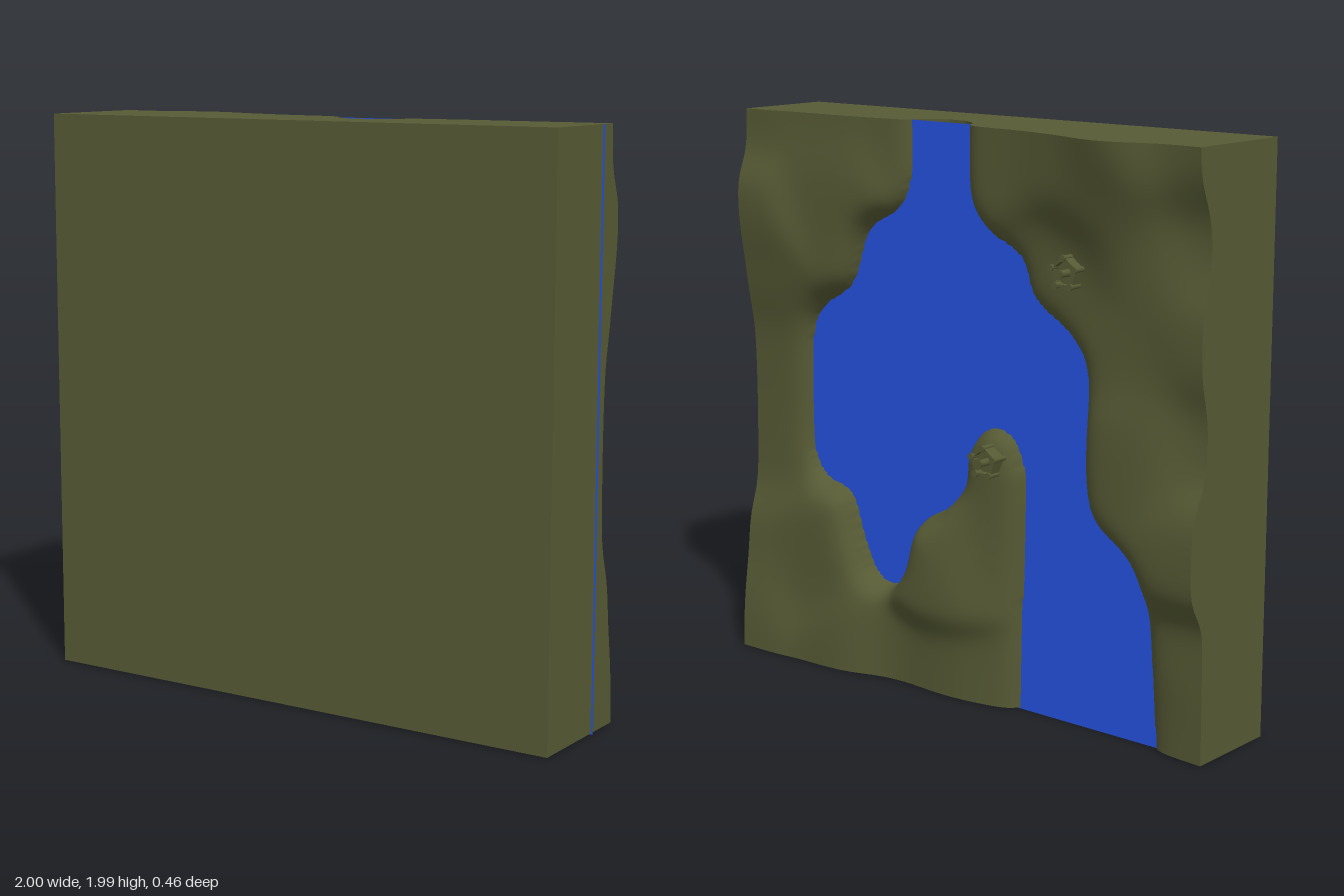
import * as THREE from 'three';

const olive = new THREE.MeshStandardMaterial({ color: 0x565a34 });
olive.name = 'oliveGround';
const blue = new THREE.MeshStandardMaterial({ color: 0x2553e2, side: THREE.DoubleSide });
blue.name = 'waterBlue';

const WATER = 0.07; // relief rises towards -z, heights are measured that way
const TOP = 1.985, BOTTOM = 0.004, FRONT = 0.23, LEFT = 0.993;

// Shorelines as x, y pairs, both running from the top edge to the bottom edge
const leftShore = [
  .256, 2.15, .256, 1.98, .263, 1.79, .32, 1.68, .46, 1.59, .54, 1.4, .68, 1.3, .735, 1.2, .748, 1, .74, .78,
  .68, .68, .56, .63, .5, .48, .44, .365, .35, .335, .27, .425, .216, .583, .1, .66, .02, .754, 0, .875,
  -.08, .965, -.18, .955, -.235, .853, -.244, .74, -.23, .354, -.22, 0, -.22, -.2,
];
const rightShore = [
  0, 2.15, 0, 1.98, -.006, 1.75, -.08, 1.64, -.22, 1.56, -.28, 1.43, -.435, 1.32, -.505, 1.195, -.51, .87,
  -.56, .72, -.71, .61, -.755, .46, -.776, .21, -.79, 0, -.79, -.2,
];

// Hill heights: x, y, height
const hills = [
  -1, 1.98, .205, -.88, 1.98, .16, -.64, 1.98, .265, -.42, 1.98, .165, -.2, 1.98, .13, 0, 1.98, .13,
  .3, 1.98, .11, .6, 1.98, .122, 1, 1.98, .137, 1, 1.6, .192, 1, 1.4, .15, 1, 1.15, .115, 1, .9, .113,
  1, .7, .118, 1, .4, .17, 1, .2, .205, 1, 0, .215, .55, 0, .2, .3, 0, .13, .05, 0, .15, -.2, 0, .12,
  -.9, 0, .1, -1, 0, .13, -1, 1.7, .11, -1, 1.35, .16, -1, 1.05, .11, -1, .72, .195, -1, .3, .12,
  .1, .5, .195, .75, .35, .165, .6, 1.75, .15, -.46, 1.54, .11, -.75, 1.6, .15, -.7, 1.3, .14,
  -.75, 1, .17, -.12, .87, .13, -.1, .6, .13, -.6, 1.8, .18,
];

function smoothLine(flat, count) {
  const pts = [];
  for (let i = 0; i < flat.length; i += 2) pts.push(new THREE.Vector2(flat[i], flat[i + 1]));
  return new THREE.SplineCurve(pts).getPoints(count);
}
const lake = [...smoothLine(leftShore, 150), ...smoothLine(rightShore, 90).reverse()];

// Signed distance to the shore: positive on land, negative in the water
function shoreDistance(x, y) {
  let best = Infinity, inside = false;
  for (let i = 0, j = lake.length - 1; i < lake.length; j = i++) {
    const a = lake[j], b = lake[i];
    const ex = b.x - a.x, ey = b.y - a.y;
    const t = THREE.MathUtils.clamp(((x - a.x) * ex + (y - a.y) * ey) / (ex * ex + ey * ey || 1), 0, 1);
    best = Math.min(best, (x - a.x - t * ex) ** 2 + (y - a.y - t * ey) ** 2);
    if ((a.y > y) !== (b.y > y) && x < a.x + (ex * (y - a.y)) / ey) inside = !inside;
  }
  return Math.sqrt(best) * (inside ? -1 : 1);
}

function hillHeight(x, y) {
  let sum = 0, weight = 1e-9;
  for (let i = 0; i < hills.length; i += 3) {
    const w = Math.exp(-((x - hills[i]) ** 2 + (y - hills[i + 1]) ** 2) / 0.026);
    sum += w * hills[i + 2];
    weight += w;
  }
  return sum / weight;
}

function groundHeight(x, y) {
  const d = shoreDistance(x, y);
  if (d < 0) return WATER - 0.075 * THREE.MathUtils.smoothstep(-d, -0.04, 0.1);
  return WATER + (hillHeight(x, y) - WATER) * (1 - Math.exp(-d / 0.032));
}

// Slab whose back face is moved to the relief
function makeTerrain() {
  const n = 140;
  const geo = new THREE.BoxGeometry(1 + LEFT, TOP - BOTTOM, 1, n, n, 1);
  geo.translate((LEFT - 1) / 2, (TOP + BOTTOM) / 2, 0);
  const p = geo.attributes.position;
  for (let i = 0; i < p.count; i++) {
    p.setZ(i, p.getZ(i) > 0 ? FRONT : -groundHeight(p.getX(i), p.getY(i)));
  }
  geo.computeVertexNormals();
  const mesh = new THREE.Mesh(geo, olive);
  mesh.name = 'terrainSlab';
  return mesh;
}

// Five-sided castle with corner towers and a central keep, standing up along +y
function makeCastle() {
  const castle = new THREE.Group();
  const add = (name, geo, x, y, z, turn = 0) => {
    const mesh = new THREE.Mesh(geo, olive);
    mesh.name = name;
    mesh.position.set(x, y, z);
    mesh.rotation.y = turn;
    castle.add(mesh);
  };
  const r = 0.05, side = 2 * r * Math.sin(Math.PI / 5), mid = r * Math.cos(Math.PI / 5);
  for (let i = 0; i < 5; i++) {
    const a = (i * 2 * Math.PI) / 5, b = a + Math.PI / 5;
    const x = r * Math.sin(a), z = r * Math.cos(a);
    add('cornerTower', new THREE.CylinderGeometry(0.009, 0.009, 0.06, 10), x, 0.012, z);
    add('towerCrown', new THREE.CylinderGeometry(0.012, 0.011, 0.01, 10), x, 0.043, z);
    add('wall', new THREE.BoxGeometry(side, 0.06, 0.007), mid * Math.sin(b), 0.008, mid * Math.cos(b), b);
  }
  add('courtyard', new THREE.CylinderGeometry(r, r, 0.03, 5), 0, 0, 0);
  add('keep', new THREE.CylinderGeometry(0.012, 0.014, 0.08, 10), 0, 0.024, 0);
  add('keepCrown', new THREE.CylinderGeometry(0.019, 0.014, 0.014, 10), 0, 0.061, 0);
  return castle;
}

export function createModel() {
  const model = new THREE.Group();
  model.name = 'reliefMap';
  model.add(makeTerrain());

  // Water sheet spanning the slab, showing as a thin rim on its left and bottom edges
  const water = new THREE.Mesh(new THREE.PlaneGeometry(1.996, TOP - 0.001), blue);
  water.name = 'waterSheet';
  water.position.set(0.002, (TOP - 0.001) / 2, -WATER);
  model.add(water);

  // One castle on the headland, one on the far bank
  for (const [name, x, y] of [['headlandCastle', -0.13, 0.872], ['bankCastle', -0.46, 1.545]]) {
    const castle = makeCastle();
    castle.name = name;
    castle.position.set(x, y, -Math.max(groundHeight(x, y), 0.12));
    castle.rotation.x = -Math.PI / 2;
    model.add(castle);
  }
  return model;
}
